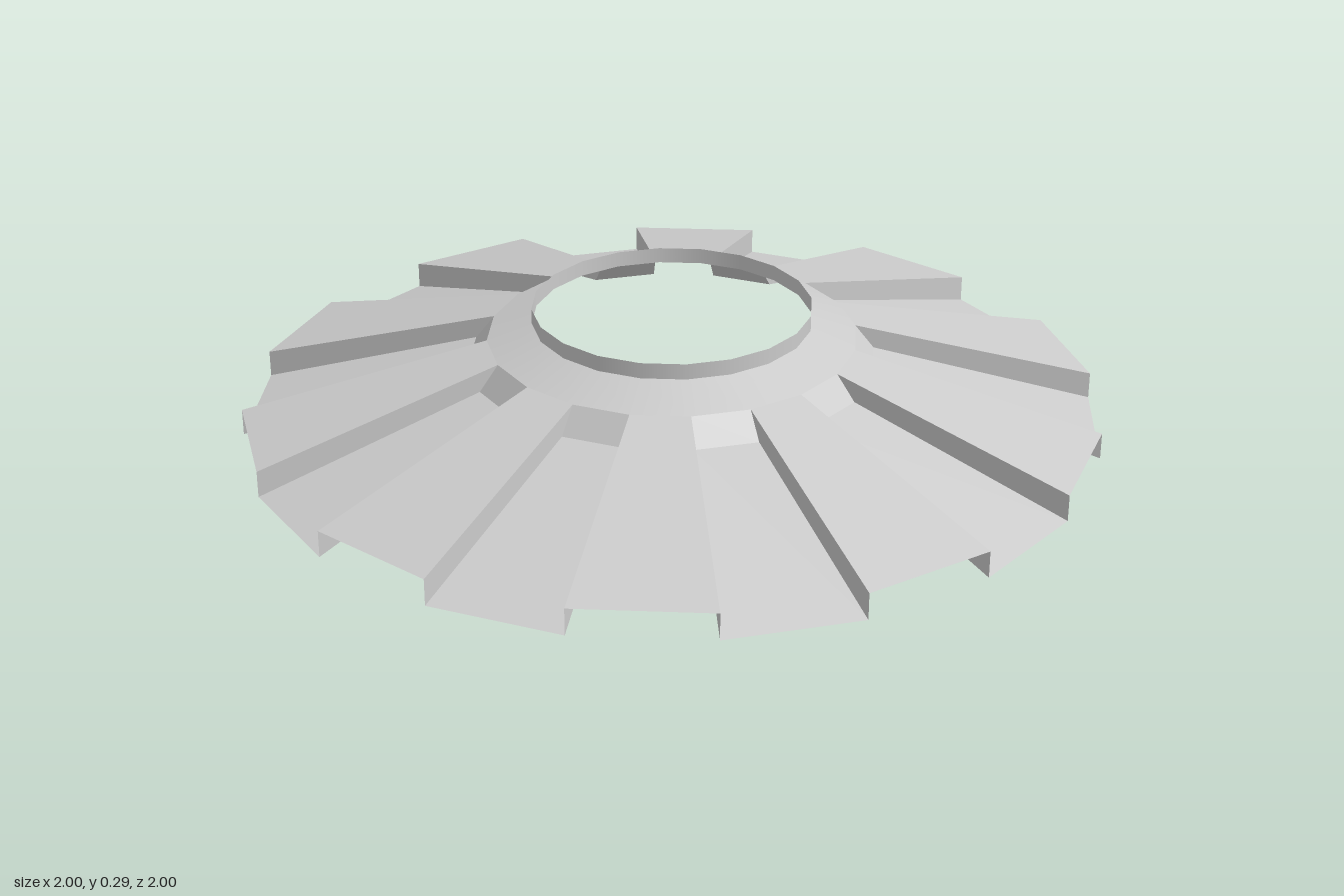
import * as THREE from 'three';

const SIDES = 20;
const STEP = (Math.PI * 2) / SIDES;

// Profile points as [radius, height]
const RIM_TOP = [0.325, 0.29];
const RIM_BASE = [0.325, 0.253];
const SHOULDER = [0.43, 0.215];
const RAISED_EDGE = [1, 0.063];
const RECESS_TOP = [0.475, 0.156];
const RECESS_EDGE = [1, 0];

const vec = (points) => points.map(([r, y]) => new THREE.Vector2(r, y));

export function createModel() {
  const model = new THREE.Group();
  model.name = 'ribbedDisc';

  const smooth = new THREE.MeshStandardMaterial({ color: 0xcccccc, side: THREE.DoubleSide });
  const flat = new THREE.MeshStandardMaterial({ color: 0xcccccc, side: THREE.DoubleSide, flatShading: true });

  // Revolved strip between two profile points, listed from the bottom up
  const strip = (name, points, material, segments = SIDES, start = 0) => {
    const geometry = new THREE.LatheGeometry(vec(points), segments, start, segments * STEP);
    const mesh = new THREE.Mesh(geometry, material);
    mesh.name = name;
    model.add(mesh);
  };

  // Upright collar around the hole and the smooth shoulder below it
  strip('collar', [RIM_BASE, RIM_TOP], smooth);
  strip('shoulder', [SHOULDER, RIM_BASE], smooth);

  // Radial wall joining a raised panel to its recessed neighbour
  const wallGeometry = new THREE.ShapeGeometry(
    new THREE.Shape(vec([SHOULDER, RECESS_TOP, RECESS_EDGE, RAISED_EDGE]))
  );

  for (let i = 0; i < SIDES; i++) {
    const angle = i * STEP;

    // Recessed and raised panels alternate around the disc
    if (i % 2 === 0) {
      strip('recessStep', [RECESS_TOP, SHOULDER], flat, 1, angle);
      strip('recessedPanel', [RECESS_EDGE, RECESS_TOP], flat, 1, angle);
    } else {
      strip('raisedPanel', [RAISED_EDGE, SHOULDER], flat, 1, angle);
    }

    const wall = new THREE.Mesh(wallGeometry, flat);
    wall.name = 'sideWall';
    wall.rotation.y = angle - Math.PI / 2;
    model.add(wall);
  }

  return model;
}
